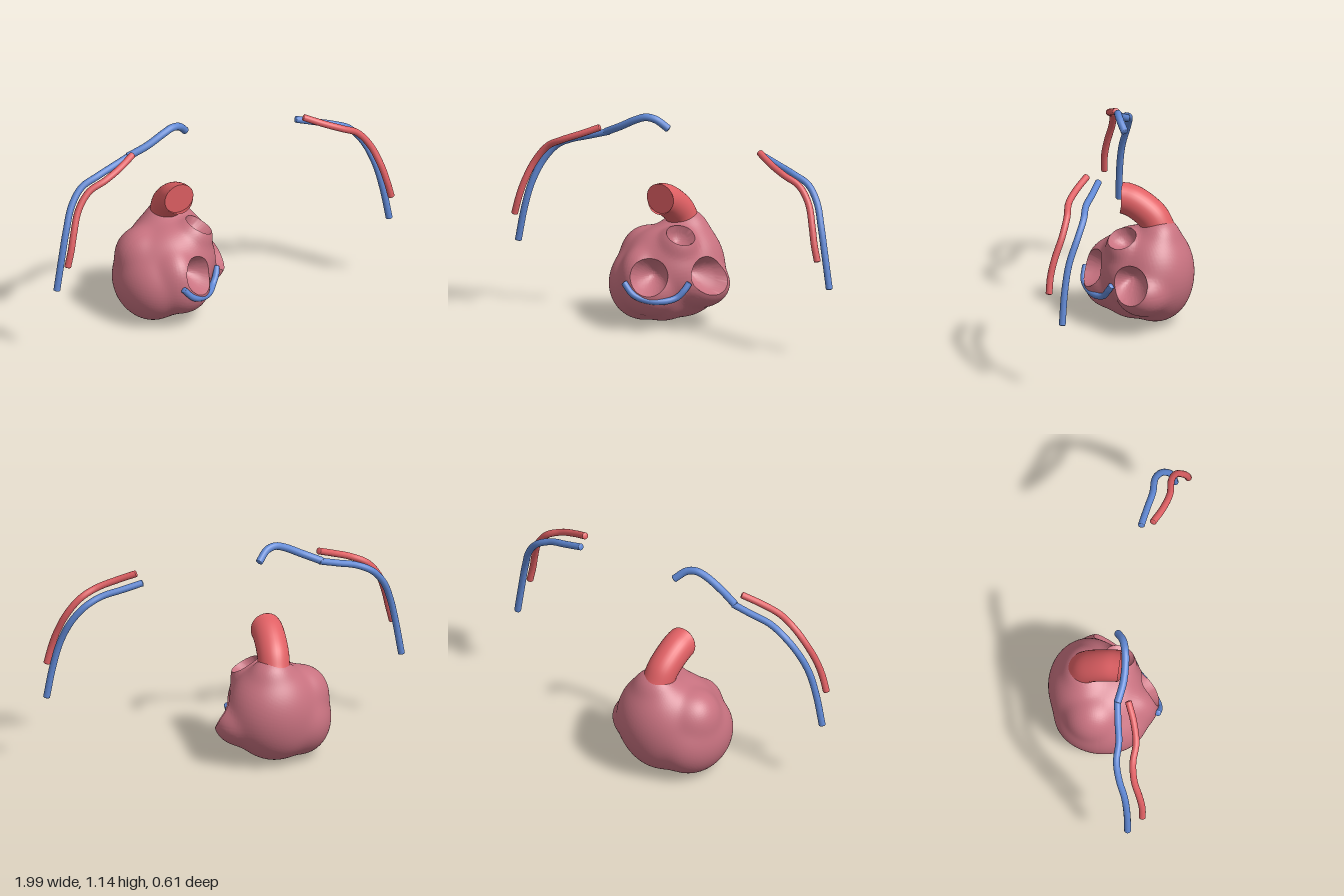
import * as THREE from 'three';
import { toCreasedNormals } from 'three/addons/utils/BufferGeometryUtils.js';

const V = (a) => new THREE.Vector3(...a);
const material = (name, color, side = THREE.FrontSide) => {
  const m = new THREE.MeshStandardMaterial({ color, side });
  m.name = name;
  return m;
};

// Heart lobes: [centre, radii], blended into one skin
const LOBES = [
  [[-0.16, 0.29, -0.1], [0.235, 0.26, 0.205]],    // back chamber
  [[-0.19, 0.2, -0.11], [0.18, 0.17, 0.16]],      // back underside
  [[-0.005, 0.225, -0.06], [0.145, 0.122, 0.14]], // left bulge
  [[-0.15, 0.475, -0.13], [0.115, 0.115, 0.1]],   // top under the artery
  [[-0.09, 0.44, 0.05], [0.1, 0.1, 0.095]],       // top front bump
  [[-0.32, 0.21, -0.01], [0.178, 0.206, 0.24]],   // right chamber
  [[-0.34, 0.34, -0.05], [0.14, 0.15, 0.145]],    // right shoulder
  [[-0.2, 0.21, 0.14], [0.145, 0.14, 0.14]],      // front chamber, low
  [[-0.245, 0.28, 0.125], [0.115, 0.15, 0.145]],  // front chamber, high
  [[-0.2, 0.17, 0.02], [0.16, 0.15, 0.16]],       // underside
  [[-0.19, 0.3, 0.02], [0.225, 0.21, 0.18]],      // middle
];
const CORE = V([-0.26, 0.24, -0.04]);
// Valve openings: centre on the skin, radius, depth as a share of the distance
const OPENINGS = [
  [[-0.155, 0.295, 0.205], 0.092, 0.38],
  [[0.055, 0.29, 0], 0.095, 0.36],
  [[-0.06, 0.505, 0.06], 0.078, 0.3],
].map(([p, r, depth]) => {
  const axis = V(p).sub(CORE);
  const angle = Math.atan(r / axis.length());
  return { axis: axis.normalize(), angle, depth };
});

function field(p) {
  const k = 70;
  let sum = 0;
  for (const [c, r] of LOBES) {
    const q = Math.hypot((p.x - c[0]) / r[0], (p.y - c[1]) / r[1], (p.z - c[2]) / r[2]);
    sum += Math.exp(-k * (q - 1) * Math.min(...r));
  }
  return -Math.log(sum) / k;
}

// Distance from the core to the skin along a direction
function skinDistance(dir) {
  let lo = 0.05, hi = 0.7;
  const p = new THREE.Vector3();
  for (let i = 0; i < 18; i++) {
    const mid = (lo + hi) / 2;
    if (field(p.copy(CORE).addScaledVector(dir, mid)) < 0) lo = mid;
    else hi = mid;
  }
  return lo;
}

function heartGeometry() {
  const geo = new THREE.SphereGeometry(1, 280, 140);
  const pos = geo.attributes.position;
  const dir = new THREE.Vector3();
  for (let i = 0; i < pos.count; i++) {
    dir.fromBufferAttribute(pos, i).normalize();
    let sink = 0;
    for (const { axis, angle, depth } of OPENINGS) {
      const t = dir.angleTo(axis);
      if (Math.abs(t - angle) < 0.016) {
        // slide nearby points onto the rim so it is a clean ring
        const side = dir.clone().addScaledVector(axis, -dir.dot(axis)).normalize();
        dir.copy(axis).multiplyScalar(Math.cos(angle)).addScaledVector(side, Math.sin(angle));
      } else if (t < angle) {
        sink = depth * (1 - (t / angle) ** 2) ** 0.6;
      }
    }
    const p = CORE.clone().addScaledVector(dir, skinDistance(dir) * (1 - sink));
    pos.setXYZ(i, p.x, Math.max(0, p.y), p.z);
  }
  return toCreasedNormals(geo, 0.75);
}

// Vessel with slightly domed closed ends
function vessel(name, points, radius, mat) {
  const group = new THREE.Group();
  group.name = name;
  const curve = new THREE.CatmullRomCurve3(points.map(V));
  const tube = new THREE.Mesh(new THREE.TubeGeometry(curve, 60, radius, 14), mat);
  tube.name = name + 'Tube';
  group.add(tube);
  for (const t of [0, 1]) {
    const end = new THREE.Mesh(new THREE.SphereGeometry(radius, 14, 10), mat);
    end.name = name + 'End';
    end.position.copy(curve.getPoint(t));
    end.lookAt(end.position.clone().add(curve.getTangent(t)));
    end.scale.z = 0.35;
    group.add(end);
  }
  return group;
}

export function createModel() {
  const model = new THREE.Group();
  model.name = 'heartAndVessels';
  const muscle = material('heart muscle', 0xc87280, THREE.DoubleSide);
  const red = material('artery red', 0xe06064, THREE.DoubleSide);
  const blue = material('vein blue', 0x6088d4);

  const heart = new THREE.Mesh(heartGeometry(), muscle);
  heart.name = 'heart';
  model.add(heart);

  // Main artery leaning forward from the top, its mouth cut upright
  const arch = new THREE.CatmullRomCurve3([
    [-0.183, 0.682, 0.07], [-0.181, 0.666, 0.02], [-0.176, 0.63, -0.04],
    [-0.17, 0.585, -0.09], [-0.163, 0.52, -0.125],
  ].map(V));
  const slant = 0.06;
  const arteryGeometry = new THREE.TubeGeometry(arch, 32, 0.084, 32);
  const ring = arteryGeometry.attributes.position;
  for (let i = 0; i <= 32; i++) ring.setZ(i, 0.07 + (ring.getY(i) - 0.682) * slant);
  const mainArtery = new THREE.Mesh(arteryGeometry, red);
  mainArtery.name = 'mainArtery';
  const mouth = new THREE.Mesh(new THREE.CircleGeometry(0.084, 32), red);
  mouth.name = 'mainArteryMouth';
  mouth.position.set(-0.183, 0.682, 0.07);
  mouth.rotation.x = Math.atan(slant);
  mouth.scale.y = 0.96;
  model.add(mainArtery, mouth);

  // Vein wrapped under the front openings
  model.add(vessel('heartVein', [
    [-0.265, 0.26, 0.285], [-0.21, 0.205, 0.285], [-0.14, 0.175, 0.25], [-0.07, 0.17, 0.2],
    [-0.025, 0.187, 0.15], [0.005, 0.225, 0.125], [0.02, 0.26, 0.103],
  ], 0.017, blue));

  // Arm vessels, mirrored
  const armArtery = [
    [0.505, 1.04, 0.16], [0.6, 1, 0.2], [0.7, 0.96, 0.225], [0.79, 0.915, 0.22],
    [0.86, 0.83, 0.235], [0.905, 0.72, 0.268], [0.93, 0.63, 0.286], [0.952, 0.545, 0.29],
  ];
  const armVein = [
    [0.49, 1.008, 0.1], [0.6, 0.976, 0.117], [0.7, 0.947, 0.134], [0.79, 0.903, 0.133],
    [0.86, 0.82, 0.155], [0.91, 0.7, 0.19], [0.945, 0.56, 0.208], [0.978, 0.385, 0.216],
  ];
  const mirror = (pts) => pts.map(([x, y, z]) => [-x, y, z]);
  model.add(vessel('leftArmArtery', armArtery, 0.018, red));
  model.add(vessel('rightArmArtery', mirror(armArtery), 0.018, red));
  model.add(vessel('leftArmVein', armVein, 0.018, blue));
  model.add(vessel('rightArmVein', mirror(armVein), 0.018, blue));

  // Shoulder vein carrying on towards the neck on the right
  model.add(vessel('rightShoulderVein', [
    [-0.5, 1.008, 0.103], [-0.4, 1.053, 0.12], [-0.3, 1.103, 0.118], [-0.245, 1.12, 0.108],
    [-0.195, 1.11, 0.092], [-0.142, 1.063, 0.058],
  ], 0.02, blue));
  return model;
}
